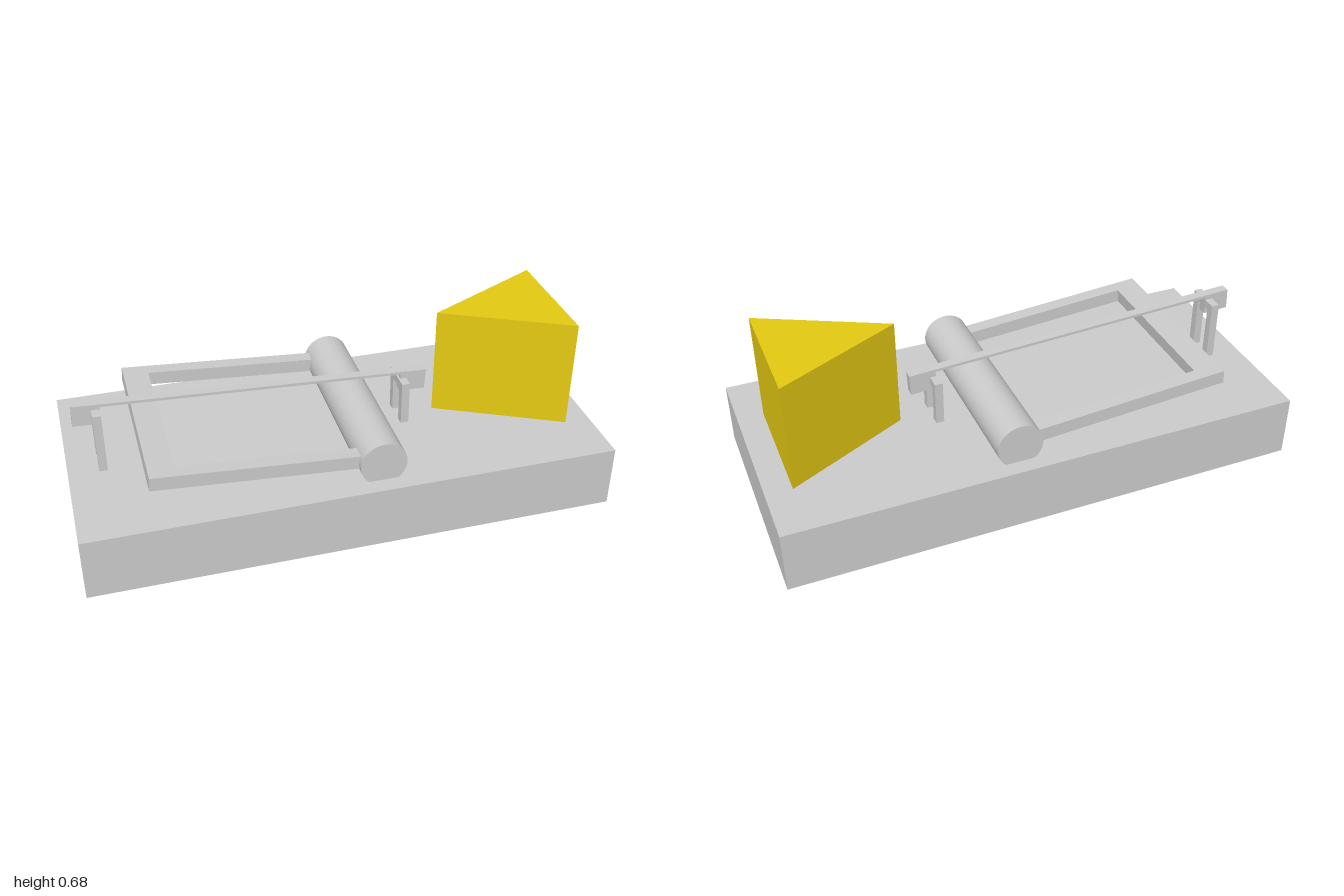
import * as THREE from 'three';

const grey = new THREE.MeshStandardMaterial({ color: 0xcccccc });
const yellow = new THREE.MeshStandardMaterial({ color: 0xe5ca12 });
const TOP = 0.245; // upper face of the base

function polygon(points) {
  return new THREE.Shape(points.map(([x, y]) => new THREE.Vector2(x, y)));
}

// Extrudes a side-on (x, y) outline, centred on z = 0
function slab(points, depth) {
  return new THREE.ExtrudeGeometry(polygon(points), { depth, bevelEnabled: false })
    .translate(0, 0, -depth / 2);
}

// Extrudes a plan outline upwards; outline y becomes -z
function upright(points, height) {
  return new THREE.ExtrudeGeometry(polygon(points), { depth: height, bevelEnabled: false })
    .rotateX(-Math.PI / 2);
}

export function createModel() {
  const model = new THREE.Group();
  model.name = 'mousetrap';
  const add = (name, geometry, material = grey) => {
    const mesh = new THREE.Mesh(geometry, material);
    mesh.name = name;
    model.add(mesh);
    return mesh;
  };

  // Wooden base
  add('base', new THREE.BoxGeometry(2, TOP, 0.914).translate(0, TOP / 2, 0));

  // Spring roller lying across the base
  add('springRoller', new THREE.CylinderGeometry(0.088, 0.088, 0.79, 48).rotateX(Math.PI / 2))
    .position.set(0.105, 0.313, -0.002);

  // U-shaped snapping frame, its arms running into the roller
  const frame = add('snapFrame', upright([
    [0, -0.372], [0.775, -0.372], [0.775, -0.317], [0.097, -0.317],
    [0.097, 0.317], [0.775, 0.317], [0.775, 0.372], [0, 0.372],
  ], 0.053));
  frame.position.set(-0.738, 0.35, -0.003);
  frame.rotation.z = -0.073;

  // Thin holding bar with a block hanging at each end
  const L = 1.346, drop = -0.083, thin = -0.011, block = 0.102;
  const bar = add('holdingBar', slab([
    [0, 0], [0, drop], [block, drop], [block, thin],
    [L - block, thin], [L - block, drop], [L, drop], [L, 0],
  ], 0.036));
  bar.position.set(-0.954, 0.51, 0.002);
  bar.rotation.z = -0.049;

  // Staples that straddle the ends of the bar
  for (const [name, x, h] of [['rearStaple', -0.87, 0.24], ['baitStaple', 0.295, 0.175]]) {
    const staple = add(name, slab([
      [-0.068, 0], [-0.036, 0], [-0.036, h - 0.032], [0.036, h - 0.032],
      [0.036, 0], [0.068, 0], [0.068, h], [-0.068, h],
    ], 0.031).rotateY(Math.PI / 2));
    staple.position.set(x, TOP, -0.002);
  }

  // Cheese wedge
  add('cheese', upright([[0.43, 0], [0.9, -0.235], [0.9, 0.235]], 0.431), yellow)
    .position.y = TOP;

  return model;
}
